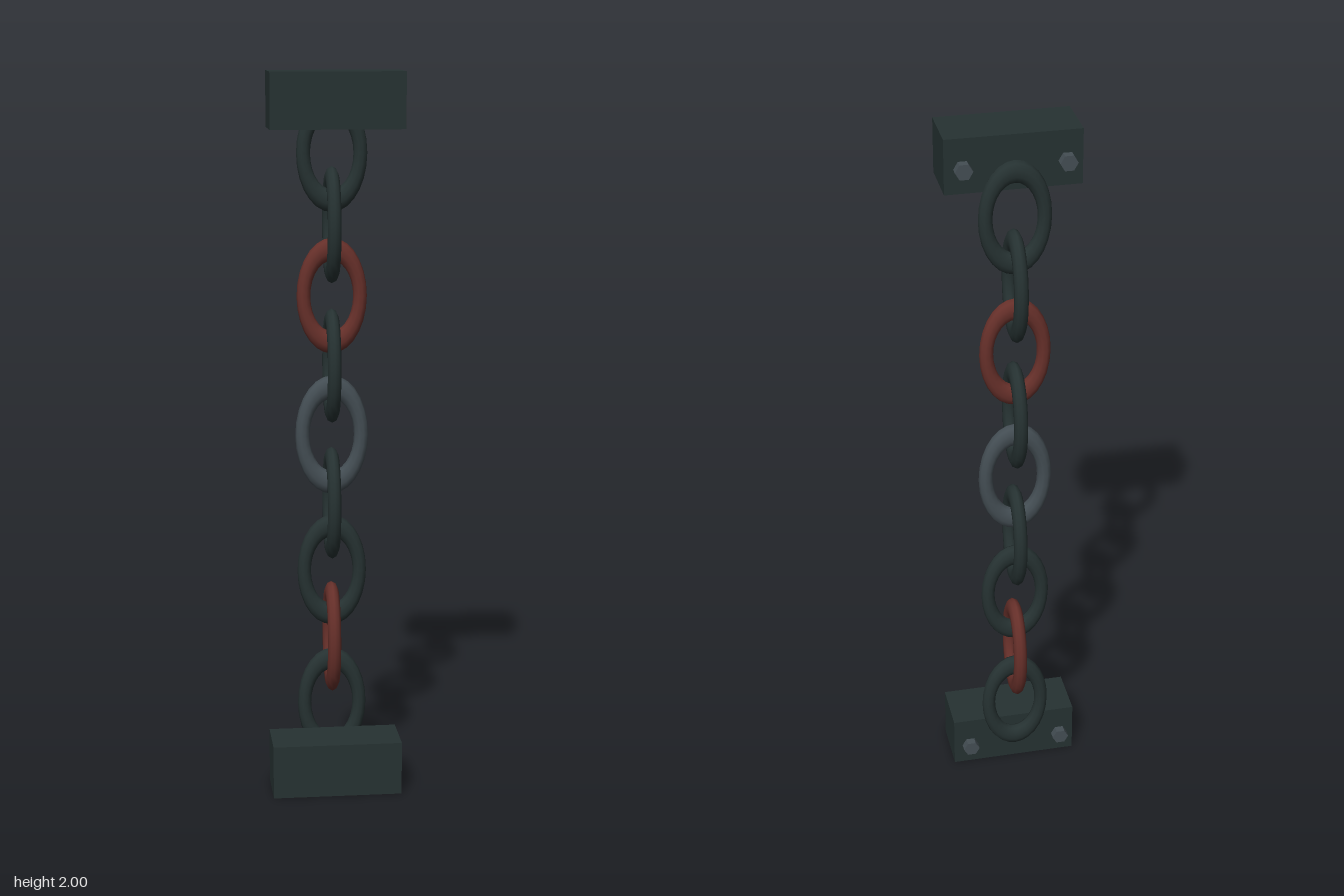
import * as THREE from 'three';

export function createModel() {
  const root = new THREE.Group();
  root.name = 'hangingChain';

  const mat = (name, color) => {
    const m = new THREE.MeshStandardMaterial({ color });
    m.name = name;
    return m;
  };
  const iron = mat('darkIron', 0x263232);
  const rust = mat('rust', 0x67302a);
  const steel = mat('wornSteel', 0x444e54);

  const add = (name, geometry, material, x, y, z) => {
    const mesh = new THREE.Mesh(geometry, material);
    mesh.name = name;
    mesh.position.set(x, y, z);
    root.add(mesh);
    return mesh;
  };

  // Mounting blocks, each with two hexagonal bolt heads on the back
  const blockGeo = new THREE.BoxGeometry(0.36, 0.15, 0.15);
  const boltGeo = new THREE.CylinderGeometry(0.0235, 0.0235, 0.023, 6)
    .rotateY(Math.PI / 2)
    .rotateX(Math.PI / 2)
    .toNonIndexed();
  boltGeo.computeVertexNormals();
  for (const [place, y] of [['top', 1.925], ['bottom', 0.075]]) {
    add(place + 'Block', blockGeo, iron, 0, y, 0.056);
    for (const [side, x] of [['Left', 0.135], ['Right', -0.135]]) {
      add(place + side + 'Bolt', boltGeo, steel, x, y, -0.047);
    }
  }

  // Chain of nine stretched rings, every other one turned a quarter
  const linkGeo = new THREE.TorusGeometry(0.078, 0.019, 10, 28).scale(1, 1.645, 1);
  const special = { 2: rust, 0: steel, '-3': rust };
  for (let k = 4; k >= -4; k--) {
    const link = add('link' + (5 - k), linkGeo, special[k] || iron, 0, 1 + k * 0.1945, -0.035);
    if (k % 2 !== 0) link.rotation.y = Math.PI / 2;
    if (k === 0) link.scale.setScalar(1.05);
  }

  return root;
}
